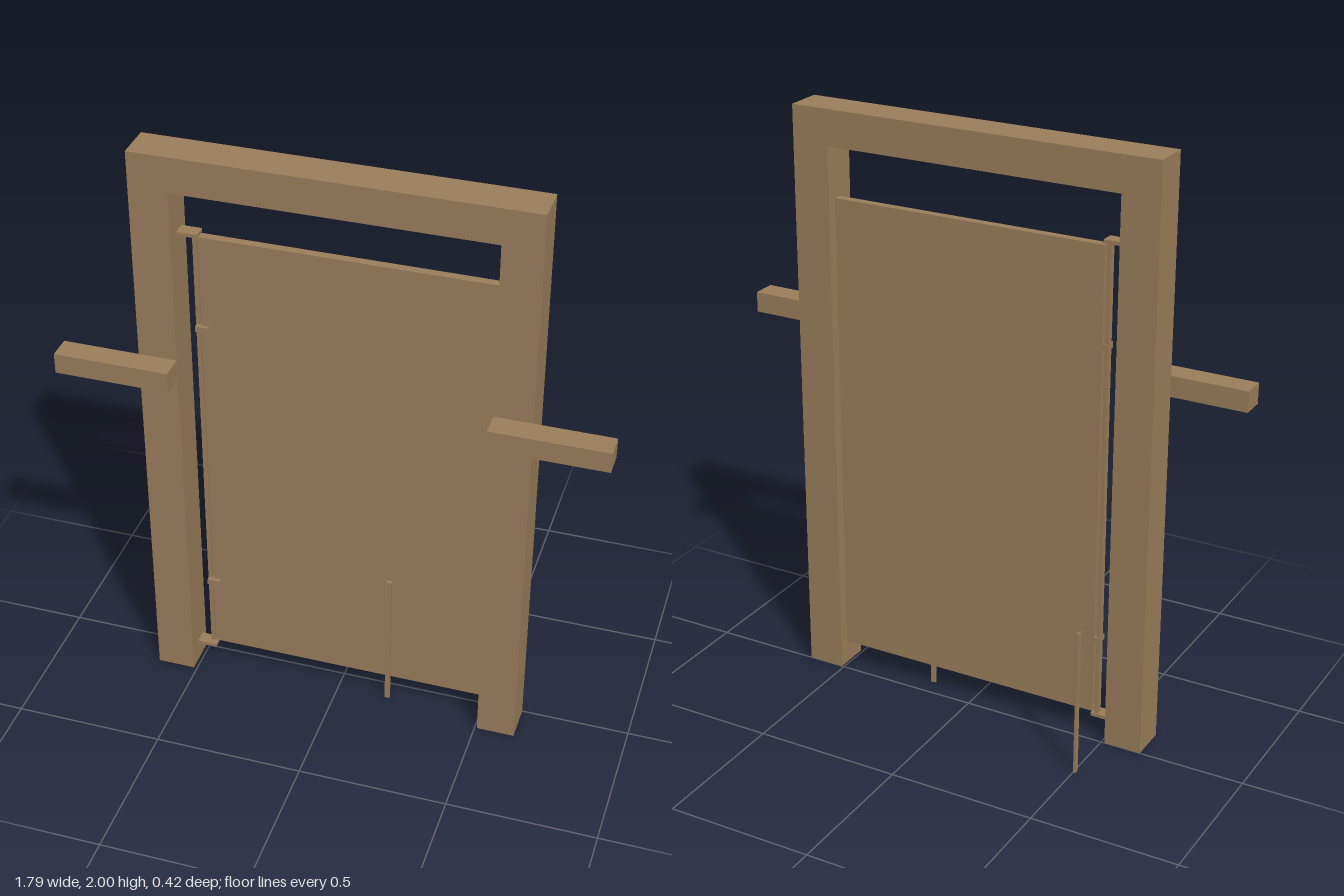
import * as THREE from 'three';

export function createModel() {
  const group = new THREE.Group();
  const wood = new THREE.MeshStandardMaterial({ color: 0x9c7f5c });
  wood.name = 'brown wood';

  const add = (name, geometry) => {
    const mesh = new THREE.Mesh(geometry, wood);
    mesh.name = name;
    group.add(mesh);
    return mesh;
  };
  // Box given by its limits on each axis
  const box = (name, [x0, x1], [y0, y1], [z0, z1]) =>
    add(name, new THREE.BoxGeometry(x1 - x0, y1 - y0, z1 - z0))
      .position.set((x0 + x1) / 2, (y0 + y1) / 2, (z0 + z1) / 2);

  // Door frame: two jambs and a lintel in one piece
  const outline = [[-0.64, 0], [-0.512, 0], [-0.512, 1.88], [0.508, 1.88],
    [0.508, 0], [0.635, 0], [0.635, 2], [-0.64, 2]];
  const shape = new THREE.Shape(outline.map(([x, y]) => new THREE.Vector2(x, y)));
  add('frame', new THREE.ExtrudeGeometry(shape, { depth: 0.127, bevelEnabled: false }));

  // Side bars fixed to the front of the jambs
  box('rightBar', [-0.895, -0.513], [1.215, 1.285], [0.127, 0.208]);
  box('leftBar', [0.51, 0.892], [1.215, 1.285], [0.127, 0.208]);

  // Door panel
  box('door', [-0.45, 0.503], [0.088, 1.703], [0.03, 0.058]);

  // Hinge post with its end brackets and door clips
  box('hingePost', [-0.47, -0.456], [0.072, 1.717], [0.034, 0.054]);
  for (const y of [0.075, 1.714]) {
    box('hingeBracket', [-0.512, -0.445], [y - 0.006, y + 0.006], [0.03, 0.075]);
  }
  for (const y of [0.354, 1.375]) {
    box('hingeClip', [-0.468, -0.424], [y - 0.01, y + 0.01], [0.03, 0.07]);
  }

  // Upright rods before and behind the door
  box('frontRod', [0.167, 0.184], [0, 0.51], [0.063, 0.073]);
  box('backRod', [-0.509, -0.501], [0, 0.51], [-0.208, -0.19]);

  return group;
}
